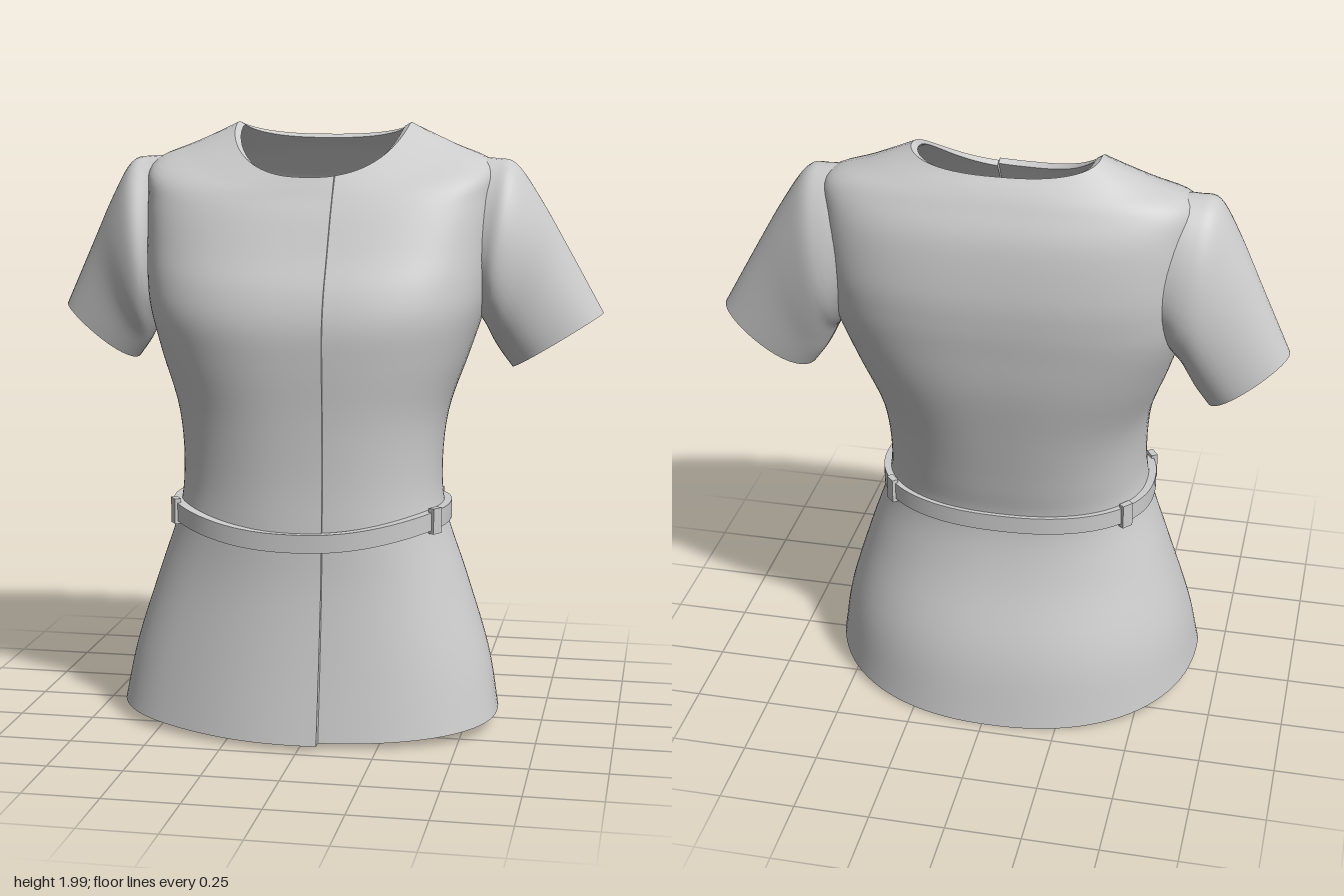
import * as THREE from 'three';
import { toCreasedNormals } from 'three/addons/utils/BufferGeometryUtils.js';

const CX = -0.03;     // centre line of the garment
const SEAM = 0.09;    // distance of the front closing edge from the centre line
const THICK = 0.02;   // cloth thickness
const material = new THREE.MeshStandardMaterial({ color: 0xcccccc, side: THREE.DoubleSide });
const spow = (v, p) => Math.sign(v) * Math.abs(v) ** p;

// Surface through rows of points, leaving out cells whose corner is in a hole
function loft(rows, name, inHole = () => false) {
  const cols = rows[0].length, index = [];
  for (let i = 0; i < rows.length - 1; i++) {
    for (let j = 0; j < cols - 1; j++) {
      if (inHole(rows[i][j])) continue;
      const a = i * cols + j, b = a + cols;
      index.push(a, a + 1, b + 1, a, b + 1, b);
    }
  }
  const g = new THREE.BufferGeometry().setFromPoints(rows.flat());
  g.setIndex(index);
  const mesh = new THREE.Mesh(toCreasedNormals(g, 0.8), material);
  mesh.name = name;
  return mesh;
}

// Smooth extra rows between the key rows
function refine(rows, steps) {
  const n = (rows.length - 1) * steps;
  const curves = rows[0].map((_, j) => new THREE.CatmullRomCurve3(rows.map(r => r[j]), false, 'catmullrom', 0.5));
  return Array.from({ length: n + 1 }, (_, i) => curves.map(c => c.getPoint(i / n)));
}

// Point on a body section; angle 0 is the front, rising toward +x
function bodyPoint([yf, ys, yb, w, zf, zb, zs, p], a, dip = 1.2) {
  const s = Math.sin(a), c = Math.cos(a);
  return new THREE.Vector3(
    CX + w * spow(s, p),
    ys + ((c > 0 ? yf : yb) - ys) * Math.abs(c) ** dip,
    zs + (c > 0 ? zf - zs : zs - zb) * spow(c, p)
  );
}

// Body section that starts and ends at the front edge, the end lying over the start
function bodyRing(section, n = 96) {
  const [w, p, lap] = [section[3], section[7], section[8]];
  const start = Math.asin((SEAM / w) ** (1 / p));
  const row = [];
  for (let j = 0; j <= n; j++) {
    const u = j / n;
    const point = bodyPoint(section, start + u * Math.PI * 2);
    point.z += lap * THREE.MathUtils.smoothstep(u, 0.86, 0.99);
    row.push(point);
  }
  row.push(row[0].clone());
  return row;
}

const inset = ([yf, ys, yb, w, zf, zb, zs, ...rest], d, dy = 0) =>
  [yf + dy, ys + dy, yb + dy, w - d, zf - d, zb + d, zs, ...rest];

// Sleeve section between a top and a bottom point, narrower toward the top
function sleeveRing(side, [tx, ty, bx, by, zc, zh], d, n = 40) {
  const top = new THREE.Vector2(tx, ty), bottom = new THREE.Vector2(bx, by);
  const mid = top.clone().add(bottom).multiplyScalar(0.5);
  const half = top.clone().sub(mid);
  half.setLength(half.length() - d);
  const reach = 0.025 * Math.max(0, (tx - 0.65) / 0.275);
  const row = [];
  for (let j = 0; j <= n; j++) {
    const a = j / n * Math.PI * 2;
    const k = spow(Math.cos(a), 0.95);
    row.push(new THREE.Vector3(
      CX + side * (mid.x + half.x * k) + reach * (1 + k) / 2,
      mid.y + half.y * k,
      zc + (zh - d) * spow(Math.sin(a), 0.95) * (1 - 0.2 * k)
    ));
  }
  return row;
}

// Outside, then the lining back down, closed at the starting edge
function lined(outer, inner) {
  const outside = refine(outer, 5);
  return [...outside, ...refine(inner, 5).reverse(), outside[0]];
}

// Armholes in the body, hidden under the sleeve heads
const inArmhole = p => Math.abs(p.x - CX) > 0.45 &&
  ((p.y - 1.63) / 0.18) ** 2 + ((p.z + 0.145) / 0.125) ** 2 < 1;

export function createModel() {
  const group = new THREE.Group();
  group.name = 'blouse';

  // Body sections: front, side, back height, half width, front, back, side z, squareness, lap
  const sections = [
    [0.02, 0.058, 0.005, 0.637, 0.425, -0.46, 0.08, 0.9, 0.035],
    [0.25, 0.25, 0.25, 0.6, 0.39, -0.415, 0.05, 0.9, 0.028],
    [0.5, 0.5, 0.5, 0.522, 0.36, -0.325, 0.03, 0.9, 0.02],
    [0.68, 0.7, 0.7, 0.455, 0.352, -0.285, 0.03, 0.88, 0.015],
    [0.85, 0.85, 0.85, 0.434, 0.344, -0.31, 0.02, 0.86, 0.012],
    [1.05, 1.05, 1.05, 0.45, 0.345, -0.355, 0, 0.83, 0.012],
    [1.23, 1.25, 1.25, 0.515, 0.353, -0.4, -0.05, 0.78, 0.012],
    [1.36, 1.4, 1.4, 0.56, 0.352, -0.42, -0.1, 0.74, 0.012],
    [1.47, 1.5, 1.5, 0.575, 0.322, -0.43, -0.12, 0.72, 0.012],
    [1.58, 1.62, 1.61, 0.58, 0.265, -0.43, -0.13, 0.7, 0.012],
    [1.7, 1.77, 1.77, 0.585, 0.205, -0.405, -0.14, 0.72, 0.012],
    [1.76, 1.87, 1.87, 0.575, 0.17, -0.36, -0.15, 0.78, 0.012],
    [1.795, 1.932, 1.92, 0.44, 0.148, -0.33, -0.17, 0.8, 0.015],
    [1.828, 2, 1.955, 0.295, 0.125, -0.3, -0.19, 0.8, 0.02],
  ];
  group.add(loft(lined(
    sections.map(s => bodyRing(s)),
    sections.map(s => bodyRing(inset(s, THICK, s[0] > 1.7 ? -0.012 : 0)))
  ), 'body', inArmhole));

  // Sleeves: top x, y, bottom x, y, centre z, half depth
  const sleeve = [
    [0.52, 1.885, 0.5, 1.42, -0.15, 0.17],
    [0.59, 1.883, 0.54, 1.365, -0.145, 0.185],
    [0.655, 1.865, 0.565, 1.33, -0.135, 0.193],
    [0.73, 1.75, 0.585, 1.29, -0.135, 0.178],
    [0.82, 1.58, 0.61, 1.245, -0.145, 0.145],
    [0.925, 1.375, 0.65, 1.19, -0.15, 0.118],
  ];
  for (const side of [1, -1]) {
    group.add(loft(lined(
      sleeve.map(s => sleeveRing(side, s, 0)),
      sleeve.map(s => sleeveRing(side, s, THICK))
    ), side > 0 ? 'leftSleeve' : 'rightSleeve'));
  }

  // Belt, dipping toward the front
  const belt = [0.64, 0.695, 0.69, 0.468, 0.388, -0.302, 0.03, 0.88];
  const beltRows = [[0, 0], [0, 0.06], [0.03, 0.06], [0.03, 0], [0, 0]].map(([d, dy]) =>
    Array.from({ length: 97 }, (_, j) => bodyPoint(inset(belt, d, dy), j / 96 * Math.PI * 2, 3)));
  group.add(loft(beltRows, 'belt'));

  // Belt loops toward the front and back of each side
  for (const side of [1, -1]) {
    for (const [a, turn, name] of [[1.17, 1, 'FrontBeltLoop'], [2.15, 2.3, 'BackBeltLoop']]) {
      const loop = new THREE.Mesh(new THREE.BoxGeometry(0.04, 0.085, 0.022), material);
      loop.position.copy(bodyPoint(belt, side * a, 3));
      loop.position.y += 0.03;
      loop.rotation.y = side * turn;
      loop.name = (side > 0 ? 'left' : 'right') + name;
      group.add(loop);
    }
  }
  return group;
}
